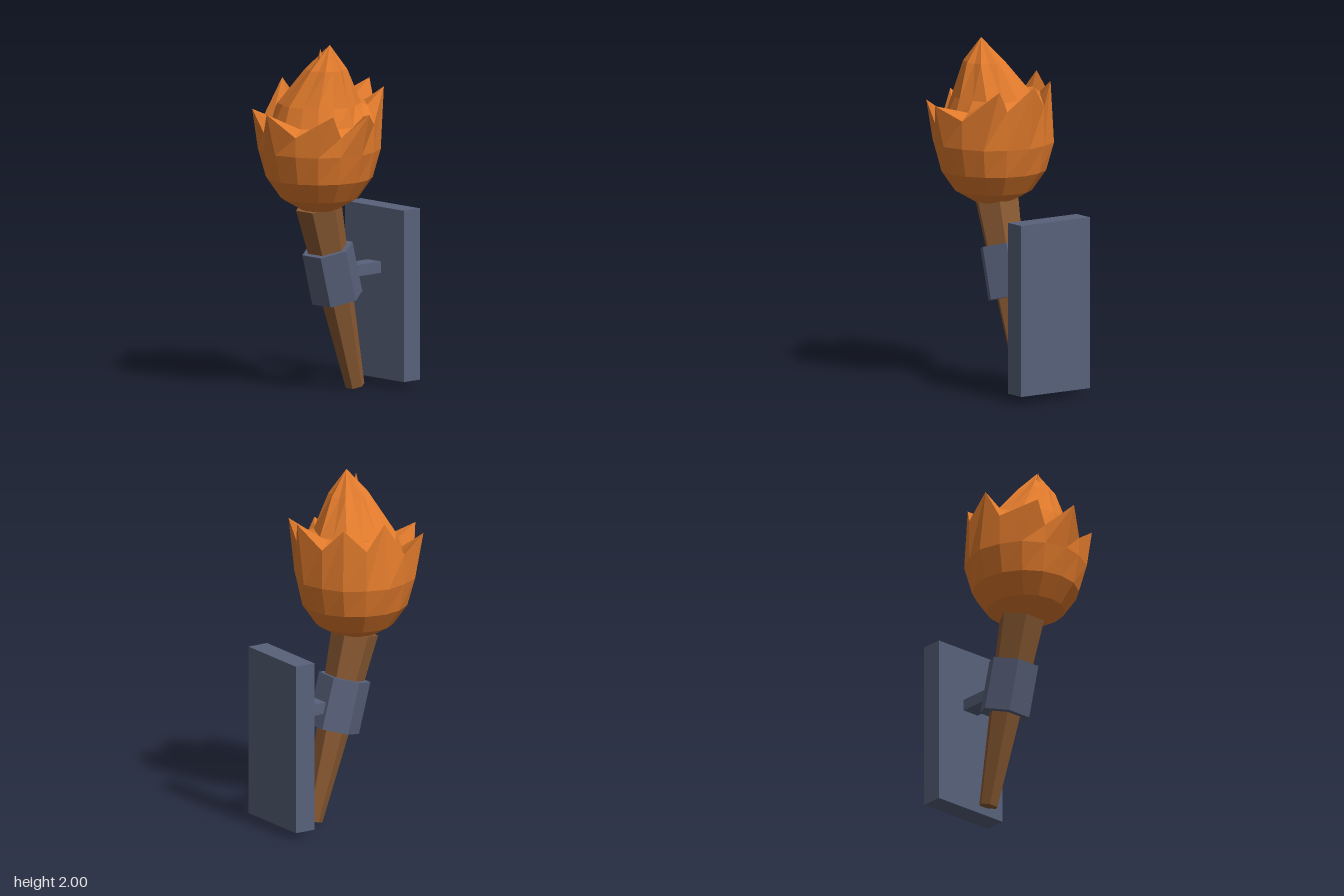
import * as THREE from 'three';

const mat = (color) => new THREE.MeshStandardMaterial({ color, flatShading: true, side: THREE.DoubleSide });
const wood = mat(0x8a5a33), iron = mat(0x58617a), fire = mat(0xe07a2c);

function add(parent, name, geometry, material, x, y, z) {
  const mesh = new THREE.Mesh(geometry, material);
  mesh.name = name;
  mesh.position.set(x, y, z);
  parent.add(mesh);
  return mesh;
}

// Six-sided prism with corners on the left and right
const hex = (rTop, rBottom, h) => new THREE.CylinderGeometry(rTop, rBottom, h, 6, 1, false, Math.PI / 6);

// Faceted skin through closed rings of points, listed upwards
function skin(rings) {
  const pos = [], n = rings[0].length;
  const tri = (...pts) => pts.forEach((p) => pos.push(...p));
  for (let j = 0; j < rings.length - 1; j++) {
    for (let i = 0; i < n; i++) {
      const k = (i + 1) % n;
      const a = rings[j][i], b = rings[j][k], c = rings[j + 1][k], d = rings[j + 1][i];
      if (j > 0) tri(a, b, c);
      if (j < rings.length - 2) tri(a, c, d);
    }
  }
  const g = new THREE.BufferGeometry();
  g.setAttribute('position', new THREE.Float32BufferAttribute(pos, 3));
  g.computeVertexNormals();
  return g;
}

// Tongue tips [x, y, z], counted from the front round to the left (+x) and back
const tips = [
  [-0.04, 1.64, 0.49], [0.28, 1.64, 0.28], [0.365, 1.64, 0.08], [0.15, 1.74, -0.24],
  [-0.04, 1.76, -0.31], [-0.27, 1.75, -0.15], [-0.34, 1.77, 0.08], [-0.24, 1.64, 0.41],
];

function flameGeometry() {
  const n = 16;
  const columns = [...Array(n).keys()];
  const point = (i, r, y, cx = -0.04, cz = 0.08) => {
    const a = (i / n) * Math.PI * 2;
    return [cx + r * Math.sin(a), y, cz + r * Math.cos(a)];
  };
  const ring = (...args) => columns.map((i) => point(i, ...args));
  const notch = (i) => {
    const a = tips[Math.floor(i / 2)], b = tips[Math.ceil(i / 2) % 8];
    return (a[1] + b[1]) / 2 - 0.13;
  };
  return skin([
    ring(0, 1.055),
    ring(0.1, 1.055),
    ring(0.22, 1.125),
    ring(0.3, 1.24),
    columns.map((i) => point(i, i % 2 ? 0.335 : 0.345, 1.4)),
    // jagged rim, then the trough behind the tongues
    columns.map((i) => (i % 2 ? point(i, 0.335, notch(i)) : tips[i / 2])),
    columns.map((i) => point(i, 0.27, notch(i) + 0.04)),
    // central flame leaning to its peak
    columns.map((i) => point(i, i % 2 ? 0.22 : 0.235, 1.66)),
    columns.map((i) => point(i, i % 2 ? 0.1 : 0.12, 1.86, 0.02, 0.085)),
    ring(0, 2.0, 0.045, 0.08),
  ]);
}

export function createModel() {
  const model = new THREE.Group();
  model.name = 'wallTorch';

  // Wall mount
  add(model, 'wallPlate', new THREE.BoxGeometry(0.476, 0.975, 0.125), iron, -0.057, 0.5325, -0.4275);
  add(model, 'bracketArm', new THREE.BoxGeometry(0.105, 0.065, 0.28), iron, -0.057, 0.677, -0.235);

  // Leaning handle and its collar
  const torch = new THREE.Group();
  torch.name = 'leaningHandle';
  torch.position.set(-0.057, 0.015, -0.215);
  torch.rotation.x = THREE.MathUtils.degToRad(15);
  model.add(torch);
  add(torch, 'handle', hex(0.133, 0.055, 1.1), wood, 0, 0.55, 0);
  add(torch, 'collar', hex(0.148, 0.148, 0.3), iron, 0, 0.683, 0);

  // Flame with a small second peak
  add(model, 'flame', flameGeometry(), fire, 0, 0, 0);
  const shard = add(model, 'flameShard', new THREE.ConeGeometry(0.07, 0.24, 4), fire, 0.015, 1.86, 0.125);
  shard.rotation.y = 0.4;

  return model;
}
